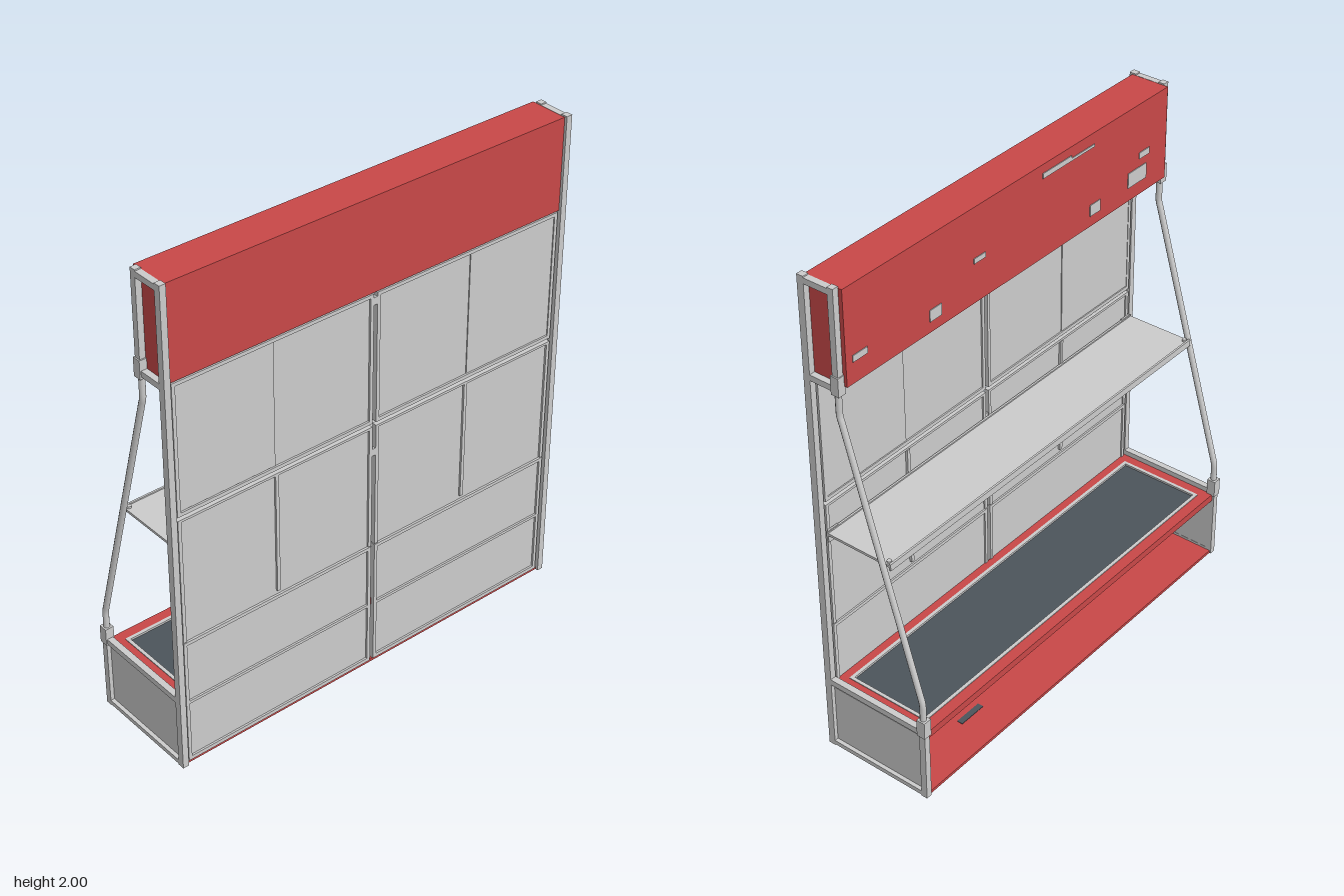
import * as THREE from 'three';

const paint = (color) => new THREE.MeshStandardMaterial({ color });
const grey = paint(0xcccccc), red = paint(0xc84848), dark = paint(0x4c545b);

// Box given by its min/max limits on each axis
function slab(parent, name, [x0, x1], [y0, y1], [z0, z1], mat = grey) {
  const m = new THREE.Mesh(new THREE.BoxGeometry(x1 - x0, y1 - y0, z1 - z0), mat);
  m.position.set((x0 + x1) / 2, (y0 + y1) / 2, (z0 + z1) / 2);
  m.name = name;
  parent.add(m);
  return m;
}
const span = (s, a, b) => (s > 0 ? [a, b] : [-b, -a]);

// Posts, rails and bent tie rod of one end
function endFrame(s) {
  const g = new THREE.Group();
  g.name = s > 0 ? 'leftEndFrame' : 'rightEndFrame';
  const x = span(s, 0.865, 0.89);
  slab(g, 'frontPost', x, [0, 2], [0.208, 0.236]);
  slab(g, 'signPost', x, [1.6, 2], [0.083, 0.108]);
  slab(g, 'basePost', x, [0, 0.32], [-0.23, -0.204]);
  for (const y of [1.605, 1.972]) slab(g, 'signRail', x, [y, y + 0.023], [0.1, 0.21]);
  slab(g, 'baseTopRail', x, [0.292, 0.316], [-0.21, 0.21]);
  slab(g, 'baseBottomRail', x, [0.004, 0.022], [-0.21, 0.21]);
  slab(g, 'sidePanel', span(s, 0.866, 0.874), [0.01, 0.27], [-0.208, 0.21]);
  slab(g, 'upperSleeve', span(s, 0.86, 0.895), [1.595, 1.668], [0.079, 0.113]);
  slab(g, 'lowerSleeve', span(s, 0.86, 0.895), [0.29, 0.362], [-0.234, -0.198]);

  const path = new THREE.CurvePath();
  const pts = [[1.62, 0.097], [1.525, 0.097], [1.49, 0.09], [0.46, -0.207], [0.42, -0.215], [0.33, -0.215]]
    .map(([y, z]) => new THREE.Vector3(s * 0.878, y, z));
  path.add(new THREE.LineCurve3(pts[0], pts[1]));
  path.add(new THREE.QuadraticBezierCurve3(pts[1], new THREE.Vector3(s * 0.878, 1.505, 0.097), pts[2]));
  path.add(new THREE.LineCurve3(pts[2], pts[3]));
  path.add(new THREE.QuadraticBezierCurve3(pts[3], new THREE.Vector3(s * 0.878, 0.437, -0.215), pts[4]));
  path.add(new THREE.LineCurve3(pts[4], pts[5]));
  const rod = new THREE.Mesh(new THREE.TubeGeometry(path, 120, 0.012, 10), grey);
  rod.name = 'tieRod';
  g.add(rod);
  return g;
}

// One half of the panelled front wall
function wallHalf(s) {
  const g = new THREE.Group();
  g.name = s > 0 ? 'leftWall' : 'rightWall';
  const panelZ = [0.214, 0.22], frameZ = [0.208, 0.228];
  const full = span(s, 0.008, 0.857);
  // rows of panels, bottom to top
  for (const [y0, y1] of [[0.012, 0.278], [0.278, 0.545], [0.552, 1.075], [1.1, 1.62]])
    slab(g, 'wallPanel', full, [y0, y1], panelZ);
  slab(g, 'outerUpperPanel', span(s, 0.44, 0.845), [1.11, 1.61], [0.21, 0.224]);
  // horizontal rails
  for (const [y, h] of [[0.012, 0.016], [0.273, 0.012], [0.537, 0.014], [1.068, 0.01], [1.092, 0.015], [1.608, 0.014]])
    slab(g, 'wallRail', full, [y, y + h], frameZ);
  // stiles
  for (const [y0, y1] of [[0.012, 0.55], [0.555, 1.075], [1.095, 1.62]]) {
    slab(g, 'innerStile', span(s, 0.008, 0.022), [y0, y1], frameZ);
    slab(g, 'outerStile', span(s, 0.843, 0.857), [y0, y1], frameZ);
  }
  slab(g, 'middleStile', span(s, 0.429, 0.443), [0.57, 1.07], [0.204, 0.228]);
  return g;
}

// Header box with small plates on its back
function header() {
  const g = new THREE.Group();
  g.name = 'header';
  slab(g, 'headerBox', [-0.866, 0.866], [1.625, 1.994], [0.067, 0.225], red);
  const plates = [[0.8, 1.72, 0.07, 0.025], [0.43, 1.69, 0.06, 0.045], [0.2, 1.79, 0.06, 0.02],
    [-0.22, 1.95, 0.16, 0.02], [-0.36, 1.945, 0.14, 0.01], [-0.44, 1.69, 0.06, 0.045],
    [-0.69, 1.71, 0.11, 0.06], [-0.73, 1.785, 0.06, 0.025]];
  for (const [x, y, w, h] of plates)
    slab(g, 'backPlate', [x - w / 2, x + w / 2], [y - h / 2, y + h / 2], [0.064, 0.07]);
  return g;
}

// Base: floor, counter with a recessed dark top, open at the back
function base() {
  const g = new THREE.Group();
  g.name = 'base';
  slab(g, 'floor', [-0.866, 0.866], [0, 0.012], [-0.224, 0.224], red);
  for (const [x, z] of [[0.47, -0.08], [-0.39, 0.12]])
    slab(g, 'floorSlot', [x - 0.06, x + 0.06], [0.01, 0.014], [z - 0.012, z + 0.012], dark);

  const rect = (P, w, d) => new P([[-w, -d], [w, -d], [w, d], [-w, d]].map((p) => new THREE.Vector2(...p)));
  function ring(name, w, d, iw, id, h, y, mat) {
    const shape = rect(THREE.Shape, w, d);
    shape.holes.push(rect(THREE.Path, iw, id));
    const geo = new THREE.ExtrudeGeometry(shape, { depth: h, bevelEnabled: false });
    geo.rotateX(-Math.PI / 2);
    const m = new THREE.Mesh(geo, mat);
    m.position.y = y;
    m.name = name;
    g.add(m);
  }
  ring('counterBorder', 0.866, 0.212, 0.825, 0.178, 0.03, 0.265, red);
  slab(g, 'counterBackEdge', [-0.866, 0.866], [0.265, 0.295], [-0.222, -0.21], red);
  ring('counterTrim', 0.826, 0.179, 0.812, 0.165, 0.014, 0.284, grey);
  slab(g, 'counterTop', [-0.815, 0.815], [0.276, 0.29], [-0.168, 0.168], dark);
  slab(g, 'counterUnderside', [-0.83, 0.83], [0.266, 0.275], [-0.18, 0.18], red);
  return g;
}

// Shelf with folded edges, carried by short arms and the tie rods
function shelf() {
  const g = new THREE.Group();
  g.name = 'shelf';
  slab(g, 'shelfBoard', [-0.864, 0.864], [0.957, 0.967], [-0.08, 0.205]);
  slab(g, 'shelfBackLip', [-0.864, 0.864], [0.945, 0.972], [-0.083, -0.075]);
  slab(g, 'shelfFrontLip', [-0.864, 0.864], [0.942, 0.972], [0.198, 0.206]);
  for (const s of [1, -1]) {
    const arm = new THREE.Mesh(new THREE.CylinderGeometry(0.011, 0.011, 0.12, 12), grey);
    arm.rotation.x = Math.PI / 2;
    arm.position.set(s * 0.835, 0.945, 0.15);
    arm.name = 'shelfArm';
    g.add(arm);
    slab(g, 'armPlate', span(s, 0.81, 0.86), [0.925, 0.975], [0.2, 0.207]);
    const pin = new THREE.Mesh(new THREE.CylinderGeometry(0.009, 0.009, 0.012, 12), grey);
    pin.position.set(s * 0.85, 0.969, -0.065);
    pin.name = 'shelfPin';
    g.add(pin);
  }
  return g;
}

export function createModel() {
  const model = new THREE.Group();
  model.name = 'kiosk';
  for (const s of [1, -1]) model.add(endFrame(s), wallHalf(s));
  model.add(header(), base(), shelf());
  // latches on the centre joint
  for (const y of [0.965, 1.59]) slab(model, 'latch', [-0.008, 0.008], [y - 0.015, y + 0.015], [0.212, 0.226]);
  return model;
}
